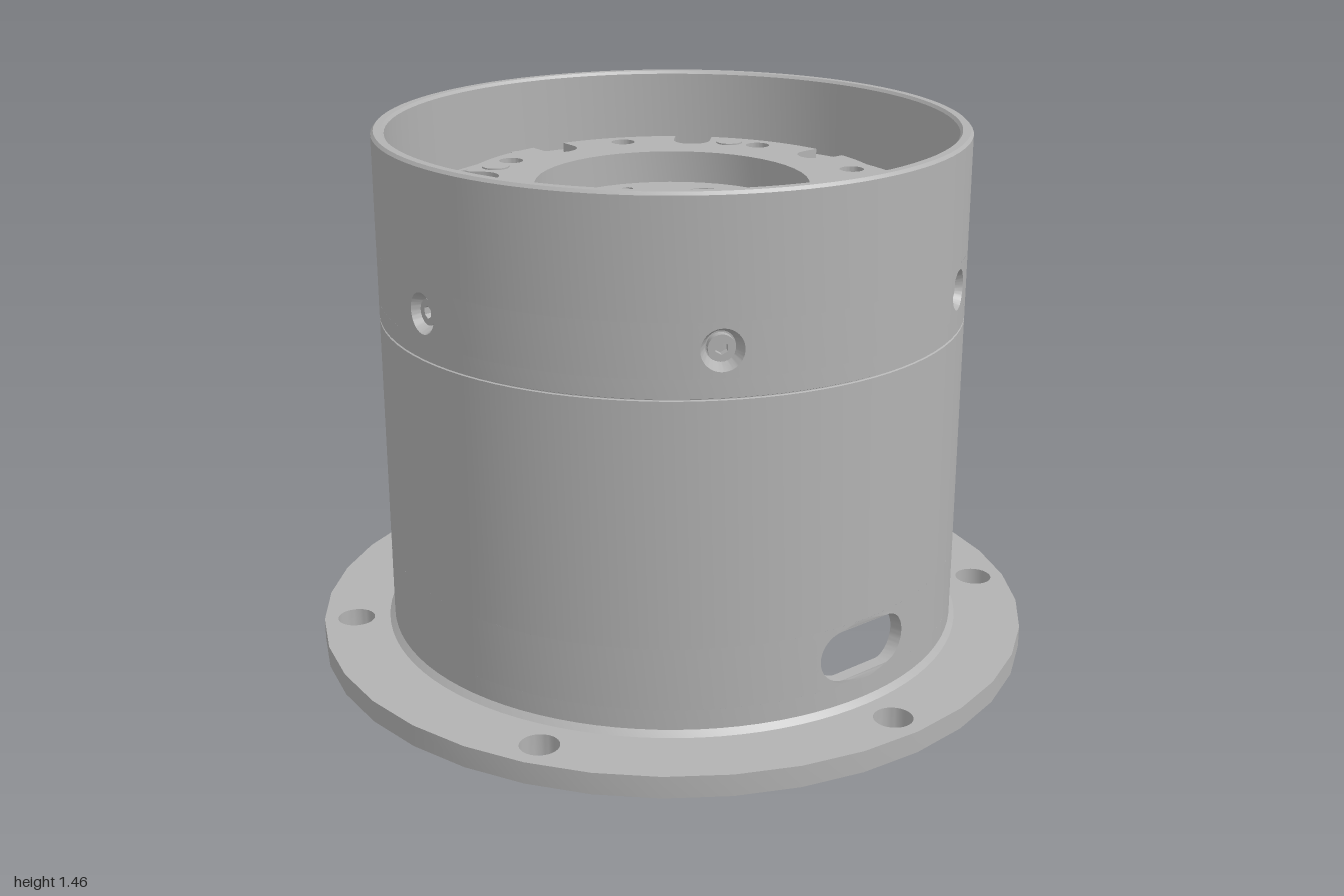
import * as THREE from 'three';
import { toCreasedNormals } from 'three/addons/utils/BufferGeometryUtils.js';

const TAU = Math.PI * 2;
const metal = new THREE.MeshStandardMaterial({ color: 0xb2b2b2 });
metal.name = 'machined grey';

const WALL_OUT = 0.8, WALL_IN = 0.765;

function add(parent, name, geo, x = 0, y = 0, z = 0) {
  const m = new THREE.Mesh(geo, metal);
  m.name = name;
  m.position.set(x, y, z);
  parent.add(m);
  return m;
}

// Turned part from an [radius, height] profile (outside going up)
function turned(points, start = 0, length = TAU) {
  const segs = Math.max(4, Math.round(96 * length / TAU));
  const geo = new THREE.LatheGeometry(points.map(p => new THREE.Vector2(p[0], p[1])), segs, start, length);
  return toCreasedNormals(geo, 0.5);
}

function circle(x, y, r, Kind = THREE.Path) {
  const c = new Kind();
  c.absarc(x, y, r, 0, TAU, false);
  return c;
}

// Horizontal plate standing on y = 0; holes are [x, z, radius]
function plate(shape, holes, depth, curveSegments = 12) {
  for (const [x, z, r] of holes) shape.holes.push(circle(x, -z, r));
  const geo = new THREE.ExtrudeGeometry(shape, { depth, bevelEnabled: false, curveSegments });
  geo.rotateX(-Math.PI / 2);
  return toCreasedNormals(geo, 0.5);
}

function polar(count, radius, startDeg, size) {
  return Array.from({ length: count }, (_, i) => {
    const a = startDeg * Math.PI / 180 + i * TAU / count;
    return [radius * Math.cos(a), radius * Math.sin(a), size];
  });
}

// Disc outline with open U notches around the rim
function notchedDisc(R, count, notchR, w) {
  const pts = [], edge = Math.asin(w / R);
  for (let k = 0; k < count; k++) {
    const a = k * TAU / count, c = Math.cos(a), s = Math.sin(a);
    for (let i = 0; i <= 10; i++) {
      const f = i / 10 * Math.PI, d = notchR - w * Math.sin(f), t = -w * Math.cos(f);
      pts.push(new THREE.Vector2(d * c - t * s, d * s + t * c));
    }
    for (let i = 0; i <= 10; i++) {
      const b = a + edge + (TAU / count - 2 * edge) * i / 10;
      pts.push(new THREE.Vector2(R * Math.cos(b), R * Math.sin(b)));
    }
  }
  return new THREE.Shape(pts);
}

// Socket-head screw, axis along +y
function screwGeometry(r, h) {
  const shape = circle(0, 0, r, THREE.Shape);
  const hex = polar(6, r * 0.5, 0, 0).map(p => new THREE.Vector2(p[0], p[1]));
  shape.holes.push(new THREE.Path(hex));
  return plate(shape, [], h, 10);
}

// Curved wall patch pierced by a rounded hole, with its inner lining
function piercedPatch(angle, y, halfW, halfH, holeW, holeH, innerScale) {
  const N = 64, rows = [];
  for (const s of [1, 0.66, 0.33, 0]) rows.push([s, WALL_OUT, 1]);
  for (const s of [0, 0.33, 0.66, 1]) rows.push([s, WALL_IN, innerScale]);
  const pos = [], idx = [];
  for (const [s, r, k] of rows) {
    for (let i = 0; i <= N; i++) {
      const a = i / N * TAU, c = Math.cos(a), n = Math.sin(a), m = Math.max(Math.abs(c), Math.abs(n));
      const hx = (Math.sign(c) * (holeW - holeH) + holeH * c) * k, hy = holeH * n * k;
      const u = hx + (halfW * c / m - hx) * s, v = hy + (halfH * n / m - hy) * s;
      const th = angle + u / WALL_OUT;
      pos.push(r * Math.sin(th), y + v, r * Math.cos(th));
    }
  }
  for (let j = 0; j < rows.length - 1; j++) {
    for (let i = 0; i < N; i++) {
      const a = j * (N + 1) + i, b = a + 1, c = a + N + 1, d = c + 1;
      idx.push(a, b, c, b, d, c);
    }
  }
  const geo = new THREE.BufferGeometry();
  geo.setAttribute('position', new THREE.Float32BufferAttribute(pos, 3));
  geo.setIndex(idx);
  return toCreasedNormals(geo, 0.5);
}

// Band of wall with evenly spaced pierced patches
function piercedBand(parent, name, y, halfH, count, startAngle, halfW, holeW, holeH, innerScale) {
  const half = halfW / WALL_OUT, step = TAU / count;
  for (let k = 0; k < count; k++) {
    const a = startAngle + k * step;
    add(parent, name + 'Opening', piercedPatch(a, y, halfW, halfH, holeW, holeH, innerScale));
    const from = a + half, len = step - 2 * half;
    add(parent, name + 'Outer', turned([[WALL_OUT, y - halfH], [WALL_OUT, y + halfH]], from, len));
    add(parent, name + 'Inner', turned([[WALL_IN, y + halfH], [WALL_IN, y - halfH]], from, len));
  }
}

export function createModel() {
  const model = new THREE.Group();
  model.name = 'flangedHousing';

  // Mounting flange with six bolt holes
  const flange = circle(0, 0, 1, THREE.Shape);
  add(model, 'baseFlange', plate(flange, [[0, 0, 0.77], ...polar(6, 0.91, 30, 0.052)], 0.06, 18));
  add(model, 'flangeCollar', turned([[0.75, 0.02], [0.79, 0.02], [0.79, 0.055], [0.815, 0.06], [0.8, 0.075],
    [WALL_IN, 0.075], [0.75, 0.06], [0.75, 0.02]]));

  // Tubular wall: plain bands between the pierced ones
  const wall = new THREE.Group();
  wall.name = 'housingWall';
  model.add(wall);
  const band = (y0, y1) => {
    add(wall, 'wallOuter', turned([[WALL_OUT, y0], [WALL_OUT, y1]]));
    add(wall, 'wallInner', turned([[WALL_IN, y1], [WALL_IN, y0]]));
  };
  band(0.05, 0.13);
  piercedBand(wall, 'cableSlot', 0.215, 0.085, 2, 0, 0.17, 0.145, 0.07, 1);
  band(0.3, 0.955);
  add(wall, 'seamGroove', turned([[WALL_OUT, 0.955], [0.796, 0.957], [0.796, 0.959], [WALL_OUT, 0.961]]));
  band(0.961, 1.01);
  piercedBand(wall, 'screwHole', 1.08, 0.07, 6, Math.PI / 6, 0.07, 0.054, 0.054, 0.72);
  band(1.15, 1.455);
  add(wall, 'topRim', turned([[WALL_OUT, 1.455], [0.793, 1.463], [0.772, 1.463], [WALL_IN, 1.455]]));

  // Radial screws sunk in the wall
  const wallScrew = screwGeometry(0.034, 0.03);
  for (let k = 0; k < 6; k++) {
    const a = Math.PI / 6 + k * TAU / 6;
    const s = add(wall, 'radialScrew', wallScrew, 0.752 * Math.sin(a), 1.08, 0.752 * Math.cos(a));
    s.quaternion.setFromUnitVectors(new THREE.Vector3(0, 1, 0), new THREE.Vector3(Math.sin(a), 0, Math.cos(a)));
  }

  // Drive body inside the tube
  const drive = new THREE.Group();
  drive.name = 'driveUnit';
  model.add(drive);
  add(drive, 'driveBody', turned([[0, 0.18], [0.557, 0.18], [0.557, 0.32], [0.66, 0.32], [0.66, 0.97],
    [0.762, 0.97], [0.762, 1.225], [0.71, 1.225], [0.585, 1.21], [0.375, 1.17], [0, 1.17]]));
  add(drive, 'bottomCover', plate(notchedDisc(0.557, 4, 0.525, 0.035), [], 0.04), 0, 0.14, 0);

  // Outer ring and its sunk screws
  const ringHoles = polar(8, 0.655, 22.5, 0.042);
  add(drive, 'outerRing', plate(circle(0, 0, 0.71, THREE.Shape), [[0, 0, 0.57], ...ringHoles], 0.05, 40), 0, 1.2, 0);
  const ringScrew = screwGeometry(0.032, 0.02);
  for (const [x, z] of ringHoles) add(drive, 'ringScrew', ringScrew, x, 1.215, z);

  // Output plate with notches, bolt holes and dowel holes
  add(drive, 'outputPlate', plate(notchedDisc(0.583, 8, 0.53, 0.054),
    [[0, 0, 0.372], ...polar(8, 0.52, 22.5, 0.034)], 0.12, 24), 0, 1.18, 0);
  for (const [x, z] of polar(4, 0.52, 57.5, 0)) {
    add(drive, 'dowelPin', new THREE.CylinderGeometry(0.038, 0.038, 0.006, 24), x, 1.301, z);
  }
  const plateScrew = screwGeometry(0.045, 0.06);
  for (const [x, z] of polar(8, 0.53, 0, 0)) add(drive, 'outputScrew', plateScrew, x, 1.22, z);

  // Recessed hub floor with three screws and two hole circles
  const hubHoles = polar(3, 0.25, 90, 0.06);
  const tiny = [-1, 1].flatMap(s => [[s * 0.08, -0.305, 0.016], [s * 0.302, 0.08, 0.016], [s * 0.222, 0.222, 0.016]]);
  add(drive, 'hubFloor', plate(circle(0, 0, 0.374, THREE.Shape),
    [...hubHoles, ...polar(6, 0.24, 0, 0.028).filter(h => Math.hypot(h[0], h[1] - 0.25) > 0.1), ...tiny], 0.045, 20), 0, 1.165, 0);
  const hubScrew = screwGeometry(0.042, 0.02);
  for (const [x, z] of hubHoles) add(drive, 'hubScrew', hubScrew, x, 1.17, z);

  // Small keys between ring and wall, front and back
  for (const s of [-1, 1]) {
    add(drive, 'alignmentKey', new THREE.BoxGeometry(0.02, 0.03, 0.055), 0, 1.235, s * 0.737);
  }

  // Screws seen from underneath
  const underScrew = screwGeometry(0.03, 0.03);
  for (const [r, y, n, start] of [[0.525, 0.182, 4, 0], [0.61, 0.322, 8, 22.5]]) {
    for (const [x, z] of polar(n, r, start, 0)) {
      add(drive, 'undersideScrew', underScrew, x, y, z).rotation.x = Math.PI;
    }
  }

  // Cable connector behind the front slot
  const connector = new THREE.Group();
  connector.name = 'cableConnector';
  model.add(connector);
  add(connector, 'plugBlock', new THREE.BoxGeometry(0.06, 0.085, 0.05), -0.095, 0.218, 0.555);
  add(connector, 'terminalBlock', new THREE.BoxGeometry(0.17, 0.08, 0.04), 0.028, 0.218, 0.555);
  const terminal = screwGeometry(0.026, 0.012);
  for (const x of [-0.02, 0.08]) add(connector, 'terminalScrew', terminal, x, 0.218, 0.574).rotation.x = Math.PI / 2;
  for (const y of [0.195, 0.218, 0.241]) {
    add(connector, 'contactPin', new THREE.BoxGeometry(0.01, 0.01, 0.01), -0.095, y, 0.582);
  }

  return model;
}
